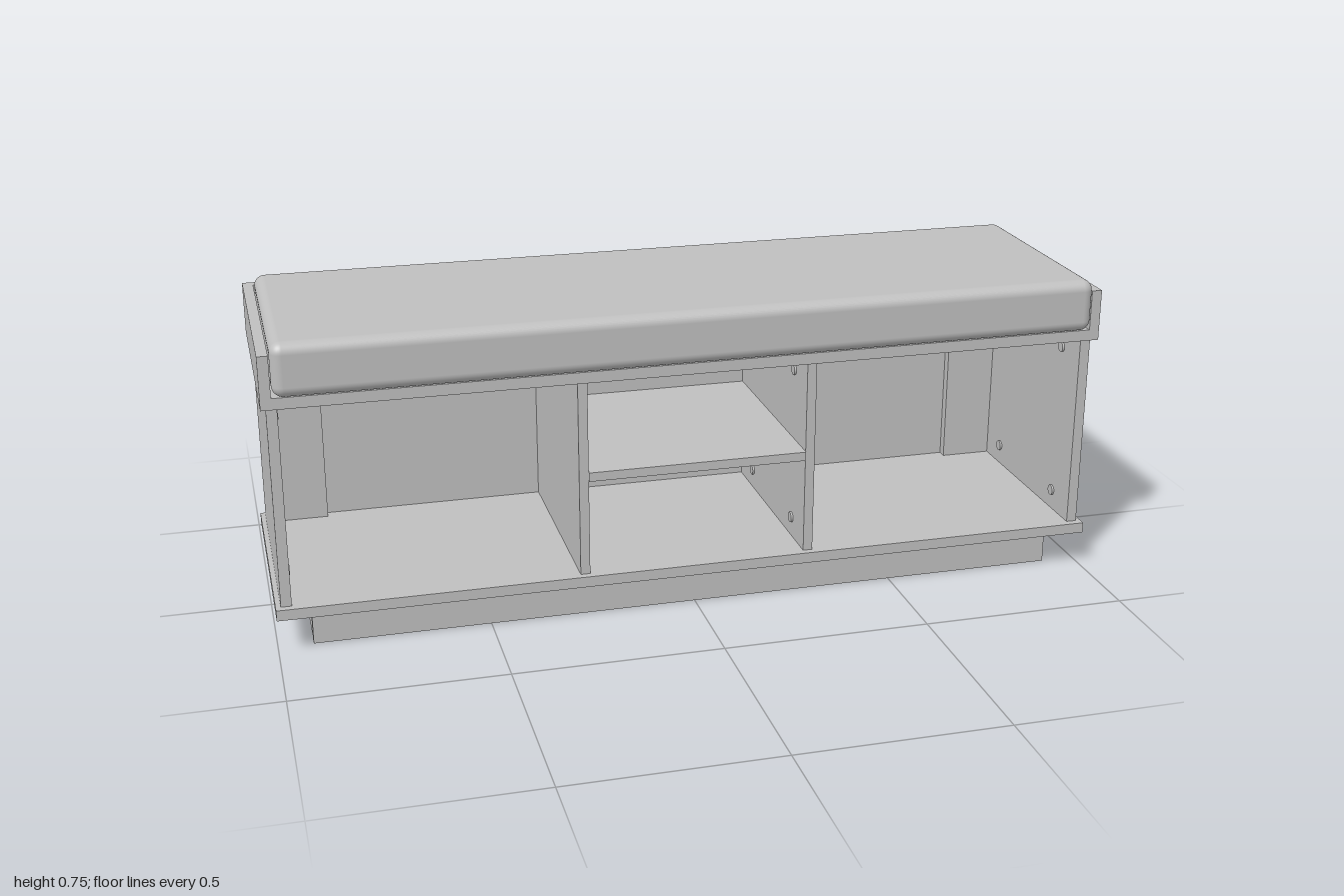
import * as THREE from 'three';
import { RoundedBoxGeometry } from 'three/addons/geometries/RoundedBoxGeometry.js';

export function createModel() {
  const bench = new THREE.Group();
  bench.name = 'storageBench';
  const grey = new THREE.MeshStandardMaterial({ color: 0xbfbfbf });
  grey.name = 'plain grey';

  const add = (name, geometry, x, y, z) => {
    const mesh = new THREE.Mesh(geometry, grey);
    mesh.name = name;
    mesh.position.set(x, y, z);
    bench.add(mesh);
    return mesh;
  };
  // Box given by its limits on each axis
  const board = (name, x0, x1, y0, y1, z0, z1) =>
    add(name, new THREE.BoxGeometry(x1 - x0, y1 - y0, z1 - z0),
      (x0 + x1) / 2, (y0 + y1) / 2, (z0 + z1) / 2);
  // Shallow round screw cap; axis is 'x' or 'z'
  const cap = (name, x, y, z, axis) => {
    const mesh = add(name, new THREE.CylinderGeometry(0.013, 0.013, 0.008, 16), x, y, z);
    if (axis === 'x') mesh.rotation.z = Math.PI / 2;
    else mesh.rotation.x = Math.PI / 2;
  };

  // Plinth
  board('plinthFront', -0.918, 0.918, 0, 0.09, 0.21, 0.235);
  board('plinthCore', -0.917, 0.917, 0, 0.09, -0.24, 0.21);
  board('plinthBack', -0.918, 0.918, 0, 0.09, -0.265, -0.24);

  // Horizontal boards
  board('bottomBoard', -1, 1, 0.09, 0.116, -0.302, 0.283);
  board('seatBoard', -1, 1, 0.6, 0.627, -0.302, 0.283);

  // Back panel, dividers and the middle shelf
  board('backPanel', -0.835, 0.835, 0.116, 0.6, -0.281, -0.262);
  board('middleShelf', -0.265, 0.265, 0.352, 0.374, -0.262, 0.269);

  for (const s of [-1, 1]) {
    const side = (name, a, b, ...rest) =>
      board(name, Math.min(s * a, s * b), Math.max(s * a, s * b), ...rest);
    side('sidePanel', 0.963, 0.988, 0.116, 0.6, -0.287, 0.265);
    side('divider', 0.265, 0.288, 0.116, 0.6, -0.262, 0.265);
    side('backPost', 0.835, 0.963, 0.116, 0.6, -0.287, -0.238);
    side('sideRail', 0.975, 1, 0.627, 0.725, -0.302, 0.283);

    for (const y of [0.165, 0.55]) {
      cap('postScrewCap', s * 0.9, y, -0.288, 'z');
      for (const z of [-0.155, 0.17]) {
        cap('sideScrewCap', s * 0.962, y, z, 'x');
        cap('dividerScrewCap', s * 0.264, y, z, 'x');
      }
    }
  }

  // Rear rail of the seat tray
  board('backRail', -0.975, 0.975, 0.627, 0.725, -0.302, -0.279);

  // Soft cushion, slightly proud of the front edge
  add('cushion', new RoundedBoxGeometry(1.946, 0.127, 0.58, 5, 0.026), 0, 0.6915, 0.012);

  return bench;
}
